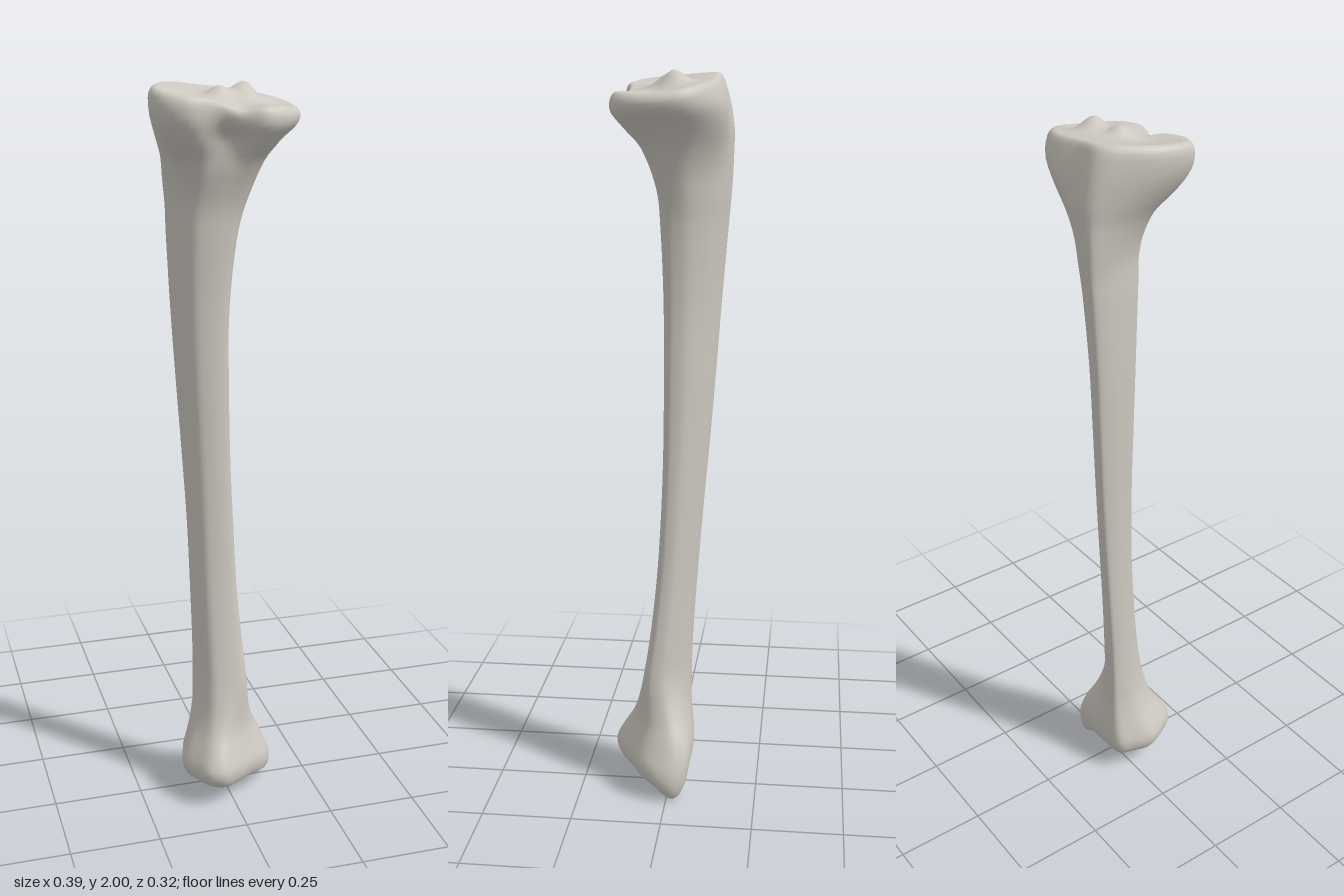
import * as THREE from 'three';

const AROUND = 72;
const smooth = THREE.MathUtils.smoothstep;
const bell = (x, z, cx, cz, r) => Math.exp(-((x - cx) ** 2 + (z - cz) ** 2) / (r * r));

// Bounds of the bone by height: y, xMin, xMax, zMin, zMax
const bounds = [
  [0.05, -0.118, 0.14, -0.055, 0.145],
  [0.10, -0.133, 0.138, -0.066, 0.162],
  [0.15, -0.118, 0.115, -0.066, 0.14],
  [0.20, -0.1, 0.088, -0.061, 0.11],
  [0.27, -0.085, 0.067, -0.057, 0.088],
  [0.40, -0.08, 0.053, -0.058, 0.063],
  [0.60, -0.082, 0.037, -0.07, 0.04],
  [0.80, -0.086, 0.029, -0.085, 0.027],
  [1.00, -0.095, 0.022, -0.102, 0.021],
  [1.20, -0.106, 0.019, -0.117, 0.02],
  [1.40, -0.116, 0.02, -0.131, 0.021],
  [1.60, -0.123, 0.04, -0.147, 0.028],
  [1.70, -0.126, 0.066, -0.155, 0.037],
  [1.80, -0.145, 0.108, -0.16, 0.075],
  [1.85, -0.167, 0.143, -0.161, 0.118],
  [1.90, -0.19, 0.18, -0.152, 0.144],
  [1.94, -0.196, 0.194, -0.138, 0.146],
  [1.965, -0.194, 0.193, -0.133, 0.143],
];

// Cross-sections (x, z), all starting at the crest and running the same way round
const ankle = [[-0.1, -0.055], [-0.12, -0.01], [-0.133, 0.05], [-0.11, 0.105], [-0.08, 0.15], [-0.04, 0.162], [0.005, 0.14],
  [0.05, 0.11], [0.1, 0.08], [0.13, 0.035], [0.138, -0.02], [0.11, -0.056], [0.04, -0.066], [-0.04, -0.066]];
const shaft = [[-0.108, -0.13], [-0.116, -0.1], [-0.112, -0.06], [-0.1, -0.02], [-0.08, 0.01], [-0.05, 0.02], [-0.02, 0.021],
  [0.005, 0.015], [0.018, 0], [0.02, -0.02], [0.016, -0.045], [0, -0.07], [-0.03, -0.1], [-0.07, -0.123]];
const knee = [[-0.12, -0.13], [-0.172, -0.065], [-0.195, 0], [-0.19, 0.085], [-0.125, 0.126], [-0.04, 0.115], [0.01, 0.126],
  [0.08, 0.143], [0.15, 0.115], [0.19, 0.045], [0.183, -0.045], [0.13, -0.105], [0.05, -0.135], [-0.04, -0.131]];

// Closed smooth outline, rescaled to the range -1..1 on both axes
function unitOutline(points) {
  const curve = new THREE.CatmullRomCurve3(points.map(([x, z]) => new THREE.Vector3(x, 0, z)), true);
  const pts = Array.from({ length: AROUND }, (_, j) => curve.getPoint(j / AROUND));
  const box = new THREE.Box3().setFromPoints(pts);
  const mid = box.getCenter(new THREE.Vector3()), size = box.getSize(new THREE.Vector3());
  return pts.map(p => [2 * (p.x - mid.x) / size.x, 2 * (p.z - mid.z) / size.z]);
}

// Smooth interpolation of the bounds table
function boundsAt(y) {
  let i = 0;
  while (i < bounds.length - 2 && y > bounds[i + 1][0]) i++;
  const a = bounds[i], b = bounds[i + 1], p = bounds[Math.max(i - 1, 0)], q = bounds[Math.min(i + 2, bounds.length - 1)];
  const h = b[0] - a[0], t = THREE.MathUtils.clamp((y - a[0]) / h, 0, 1);
  return [1, 2, 3, 4].map(k => {
    const m0 = (b[k] - p[k]) / (b[0] - p[0]) * h, m1 = (q[k] - a[k]) / (q[0] - a[0]) * h;
    return (2 * t ** 3 - 3 * t * t + 1) * a[k] + (t ** 3 - 2 * t * t + t) * m0
      + (3 * t * t - 2 * t ** 3) * b[k] + (t ** 3 - t * t) * m1;
  });
}

// Relief of the upper joint surface: tilt, twin spines, two shallow dishes, rear notch
const plateauRelief = (x, z) => -0.12 * x - 0.1 * z
  + 0.036 * bell(x, z, 0.062, -0.015, 0.035) + 0.022 * bell(x, z, -0.012, 0.01, 0.028)
  - 0.012 * bell(x, z, 0.125, 0.02, 0.06) - 0.012 * bell(x, z, -0.09, 0.03, 0.07)
  - 0.025 * bell(x, z, 0.02, 0.1, 0.045);

// Relief of the lower joint surface: inner ankle knob and a hollow
const ankleRelief = (x, z) => -0.056 * bell(x, z, 0.105, -0.015, 0.045) + 0.022 * bell(x, z, -0.02, 0.04, 0.06);

function boneGeometry() {
  const A = unitOutline(ankle), S = unitOutline(shaft), K = unitOutline(knee);

  // Height and shrink of every ring, from the underside to the top
  const rings = [];
  for (let i = 0; i <= 8; i++) rings.push([0.05, i * 0.11]);
  rings.push([0.052, 0.93], [0.058, 0.97], [0.068, 0.995]);
  for (let i = 0; i <= 110; i++) rings.push([0.08 + 1.855 * i / 110, 1]);
  rings.push([1.948, 0.99], [1.958, 0.97], [1.964, 0.935]);
  for (let i = 16; i >= 0; i--) rings.push([1.966, i * 0.056]);

  const pos = [], index = [];
  rings.forEach(([y, s], i) => {
    const [x0, x1, z0, z1] = boundsAt(y);
    const low = 1 - smooth(y, 0.12, 0.36), high = smooth(y, 1.7, 1.93);
    for (let j = 0; j < AROUND; j++) {
      const blend = k => S[j][k] + low * (A[j][k] - S[j][k]) + high * (K[j][k] - S[j][k]);
      const x = (x0 + x1) / 2 + s * blend(0) * (x1 - x0) / 2;
      let z = (z0 + z1) / 2 + s * blend(1) * (z1 - z0) / 2;
      // hollow between the condyles at the rear of the upper end
      z -= 0.035 * bell(x, y, -0.005, 1.865, 0.055) * smooth(z, 0, 0.1);
      const lift = plateauRelief(x, z) * smooth(y, 1.84, 1.96)
        + ankleRelief(x, z) * (1 - smooth(y, 0.05, 0.18));
      pos.push(x, y + lift, z);
      if (i < rings.length - 1) {
        const a = i * AROUND + j, b = i * AROUND + (j + 1) % AROUND;
        index.push(a, b, b + AROUND, a, b + AROUND, a + AROUND);
      }
    }
  });
  const geo = new THREE.BufferGeometry();
  geo.setAttribute('position', new THREE.Float32BufferAttribute(pos, 3));
  geo.setIndex(index);
  geo.computeVertexNormals();
  return geo;
}

export function createModel() {
  const group = new THREE.Group();
  group.name = 'shinBone';
  const bone = new THREE.MeshStandardMaterial({ color: 0xcdc9c0 });
  bone.name = 'bone';
  const mesh = new THREE.Mesh(boneGeometry(), bone);
  mesh.name = 'boneBody';
  group.add(mesh);
  return group;
}
